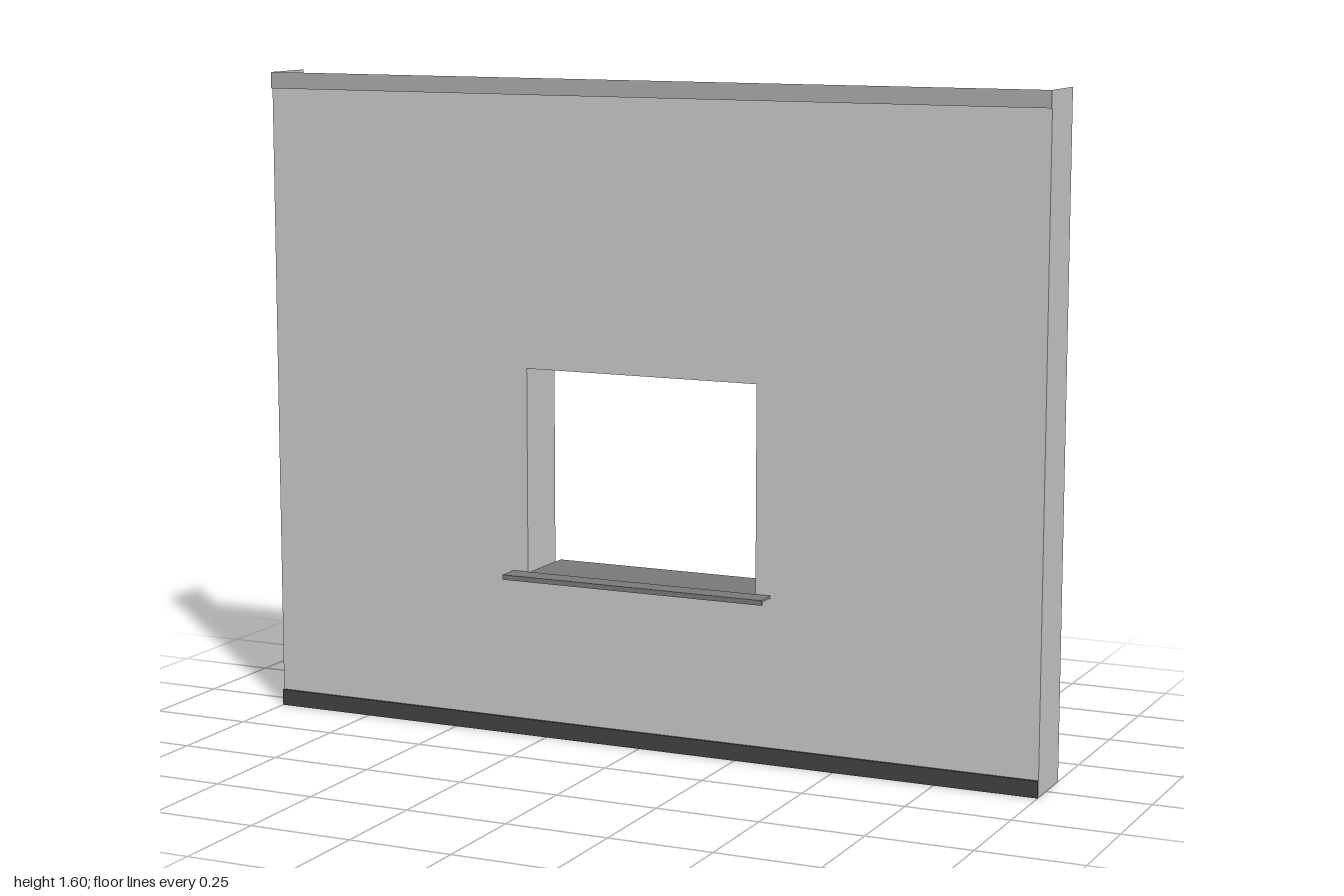
import * as THREE from 'three';

const paint = (color) => new THREE.MeshStandardMaterial({ color, side: THREE.DoubleSide, flatShading: true });

const WALL_Z = 0.057, TRIM_Z = 0.063, BACK_Z = -0.09;
const H = 1.6, TRIM = 0.04;
const OPEN = { x: 0.3, bottom: 0.4, top: 0.905 };

// Folded sheet: a (z, y) profile swept across x from -halfWidth to halfWidth
function foldedSheet(name, profile, halfWidth, material) {
  const pos = [];
  for (let i = 0; i < profile.length - 1; i++) {
    const [z0, y0] = profile[i], [z1, y1] = profile[i + 1], w = halfWidth;
    pos.push(-w, y0, z0, w, y0, z0, w, y1, z1, -w, y0, z0, w, y1, z1, -w, y1, z1);
  }
  const g = new THREE.BufferGeometry();
  g.setAttribute('position', new THREE.Float32BufferAttribute(pos, 3));
  g.computeVertexNormals();
  const mesh = new THREE.Mesh(g, material);
  mesh.name = name;
  return mesh;
}

// Upright sheet facing sideways
function sideSheet(name, x, y0, y1, z0, z1, material) {
  const mesh = new THREE.Mesh(new THREE.PlaneGeometry(z1 - z0, y1 - y0), material);
  mesh.rotation.y = Math.sign(x) * Math.PI / 2;
  mesh.position.set(x, (y0 + y1) / 2, (z0 + z1) / 2);
  mesh.name = name;
  return mesh;
}

export function createModel() {
  const model = new THREE.Group();
  model.name = 'wallPanel';
  const grey = paint(0xcccccc), topGrey = paint(0xadadad), dark = paint(0x434343), sillGrey = paint(0x7b7b7b);

  // Wall face with the window opening
  const face = new THREE.Shape([
    new THREE.Vector2(-1, TRIM), new THREE.Vector2(1, TRIM),
    new THREE.Vector2(1, H - TRIM), new THREE.Vector2(-1, H - TRIM),
  ]);
  face.holes.push(new THREE.Path([
    new THREE.Vector2(-OPEN.x, OPEN.bottom), new THREE.Vector2(-OPEN.x, OPEN.top),
    new THREE.Vector2(OPEN.x, OPEN.top), new THREE.Vector2(OPEN.x, OPEN.bottom),
  ]));
  const wall = new THREE.Mesh(new THREE.ShapeGeometry(face), grey);
  wall.position.z = WALL_Z;
  wall.name = 'wallFace';
  model.add(wall);

  // Trim strips standing slightly proud of the wall
  model.add(
    foldedSheet('topTrim', [[WALL_Z, H - TRIM], [TRIM_Z, H - TRIM], [TRIM_Z, H]], 1, topGrey),
    foldedSheet('baseboard', [[TRIM_Z, 0], [TRIM_Z, TRIM], [WALL_Z, TRIM]], 1, dark),
  );

  // End returns and window jambs
  for (const [side, s] of [['left', 1], ['right', -1]]) {
    model.add(
      sideSheet(side + 'EndReturn', s, 0, H, BACK_Z, WALL_Z, grey),
      sideSheet(side + 'TopTrimEnd', s, H - TRIM, H, WALL_Z, TRIM_Z, topGrey),
      sideSheet(side + 'BaseboardEnd', s, 0, TRIM, WALL_Z, TRIM_Z, dark),
      sideSheet(side + 'Jamb', s * OPEN.x, OPEN.bottom, OPEN.top, BACK_Z, WALL_Z, grey),
    );
  }

  // Head and bottom of the opening
  model.add(
    foldedSheet('windowHead', [[WALL_Z, OPEN.top], [BACK_Z, OPEN.top]], OPEN.x, grey),
    foldedSheet('windowBottom', [[WALL_Z, OPEN.bottom], [BACK_Z, OPEN.bottom]], OPEN.x, grey),
  );

  // Sill: narrow board through the opening, wider nosing with a drip lip in front
  model.add(
    foldedSheet('sillBoard', [[WALL_Z, 0.404], [-0.12, 0.404]], OPEN.x, sillGrey),
    foldedSheet('sillNosing', [[WALL_Z, 0.407], [0.115, 0.407], [0.115, 0.395], [0.109, 0.395], [0.109, 0.402], [WALL_Z, 0.402]], 0.34, sillGrey),
  );
  return model;
}
